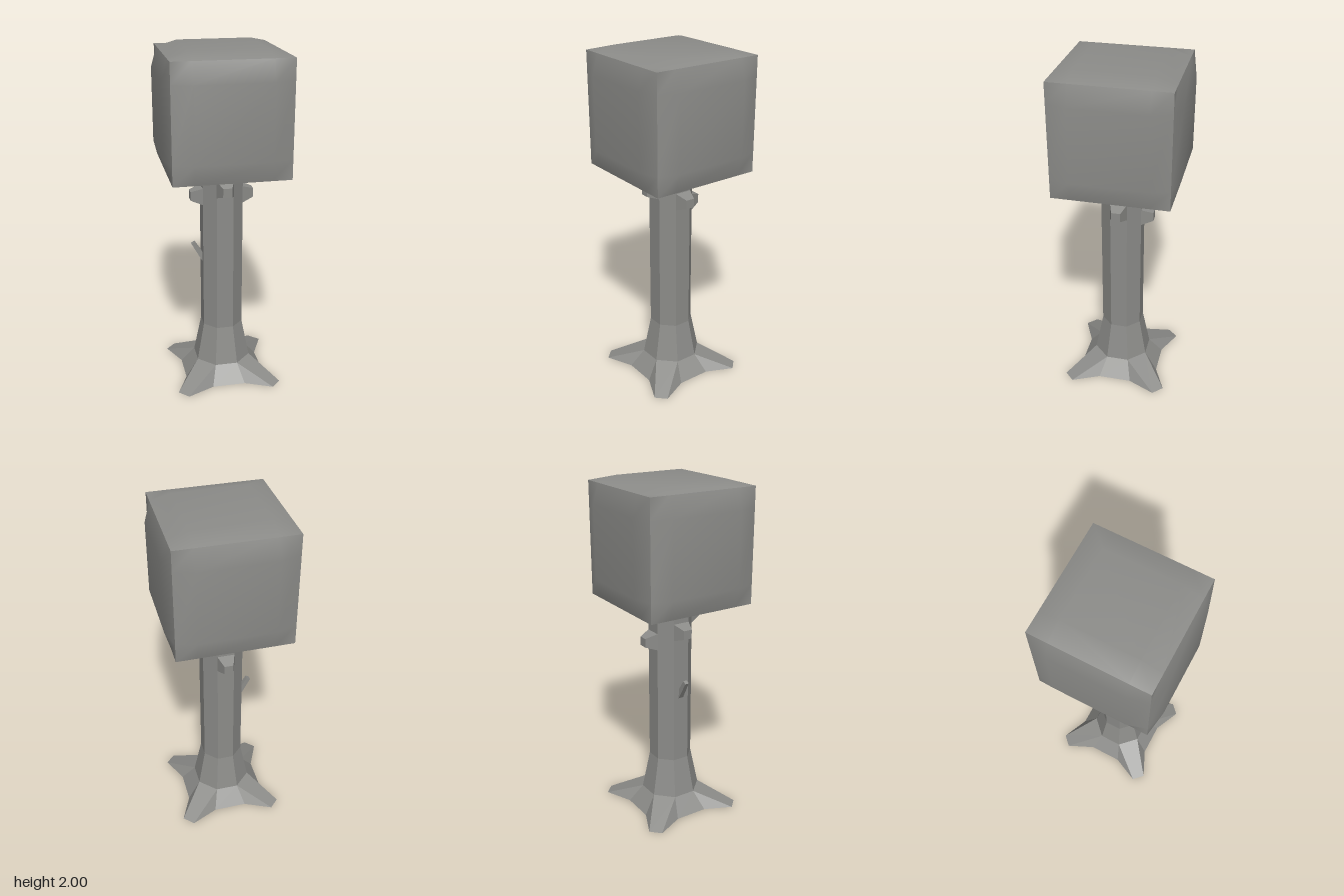
import * as THREE from 'three';

const bark = new THREE.MeshStandardMaterial({ color: 0x8c8c89 });
bark.name = 'stone grey';

function addMesh(parent, name, geometry) {
  const mesh = new THREE.Mesh(geometry, bark);
  mesh.name = name;
  parent.add(mesh);
  return mesh;
}

// Faceted prism: one side faces +z, sizes are measured to the flat sides
function prism(sides, topApothem, bottomApothem, y0, y1, open = false) {
  const k = 1 / Math.cos(Math.PI / sides);
  const g = new THREE.CylinderGeometry(topApothem * k, bottomApothem * k, y1 - y0, sides, 1, open);
  g.rotateY(Math.PI / sides).translate(0, (y0 + y1) / 2, 0);
  const flat = g.toNonIndexed();
  flat.computeVertexNormals();
  return flat;
}

// Four diagonal roots spreading from an octagon down to a star on the ground
function rootsGeometry() {
  const O = [0, 0, 0];
  const topL = [-0.066, 0.1, 0.16], topR = [0.066, 0.1, 0.16], topNext = [0.16, 0.1, 0.066];
  const lowL = [-0.097, 0, 0.238], lowR = [0.097, 0, 0.238], lowNext = [0.238, 0, 0.097];
  const tipA = [0.255, 0, 0.31], tipB = [0.31, 0, 0.255];
  const quarter = [
    lowL, lowR, topR, lowL, topR, topL,
    lowR, tipA, topR,
    tipA, tipB, topNext, tipA, topNext, topR,
    tipB, lowNext, topNext,
    O, lowR, lowL, O, tipA, lowR, O, tipB, tipA, O, lowNext, tipB,
  ];
  const points = [];
  for (let i = 0; i < 4; i++) {
    const c = Math.round(Math.cos(i * Math.PI / 2)), s = Math.round(Math.sin(i * Math.PI / 2));
    for (const [x, y, z] of quarter) points.push(x * c + z * s, y, -x * s + z * c);
  }
  const g = new THREE.BufferGeometry();
  g.setAttribute('position', new THREE.Float32BufferAttribute(points, 3));
  g.computeVertexNormals();
  return g;
}

// Cube whose six faces swell gently into a raised inner square
function crownGeometry() {
  const h = 0.327, inner = 0.212, raised = 0.36;
  const g = new THREE.BoxGeometry(2 * h, 2 * h, 2 * h, 3, 3, 3);
  const p = g.attributes.position;
  for (let i = 0; i < p.count; i++) {
    const v = [p.getX(i), p.getY(i), p.getZ(i)];
    const outer = v.map((c) => Math.abs(c) > 0.2);
    const onFace = outer.filter(Boolean).length === 1;
    const moved = v.map((c, j) => Math.sign(c) * (outer[j] ? (onFace ? raised : h) : inner));
    p.setXYZ(i, ...moved);
  }
  g.computeVertexNormals();
  return g;
}

export function createModel() {
  const tree = new THREE.Group();
  tree.name = 'tree';

  // Trunk and base
  addMesh(tree, 'roots', rootsGeometry());
  addMesh(tree, 'trunkFlare', prism(8, 0.117, 0.16, 0.1, 0.33, true));
  addMesh(tree, 'trunk', prism(8, 0.117, 0.117, 0.33, 1.32));

  // Cut branch stubs, one on each main side of the trunk
  const stubHeights = [1.21, 1.149, 1.085, 1.149];
  stubHeights.forEach((y, i) => {
    const g = prism(4, 0.026, 0.05, 0.115, 0.184);
    g.rotateX(Math.PI / 2);
    const stub = addMesh(tree, 'branchStub', g);
    stub.position.y = y;
    stub.rotation.y = i * Math.PI / 2;
  });

  // Small slanted twig
  const twig = addMesh(tree, 'twig', prism(4, 0.012, 0.016, 0, 0.135));
  twig.position.set(-0.1, 0.737, 0);
  twig.rotation.z = 0.54;

  // Leafy crown
  addMesh(tree, 'crown', crownGeometry()).position.y = 1.64;

  return tree;
}
